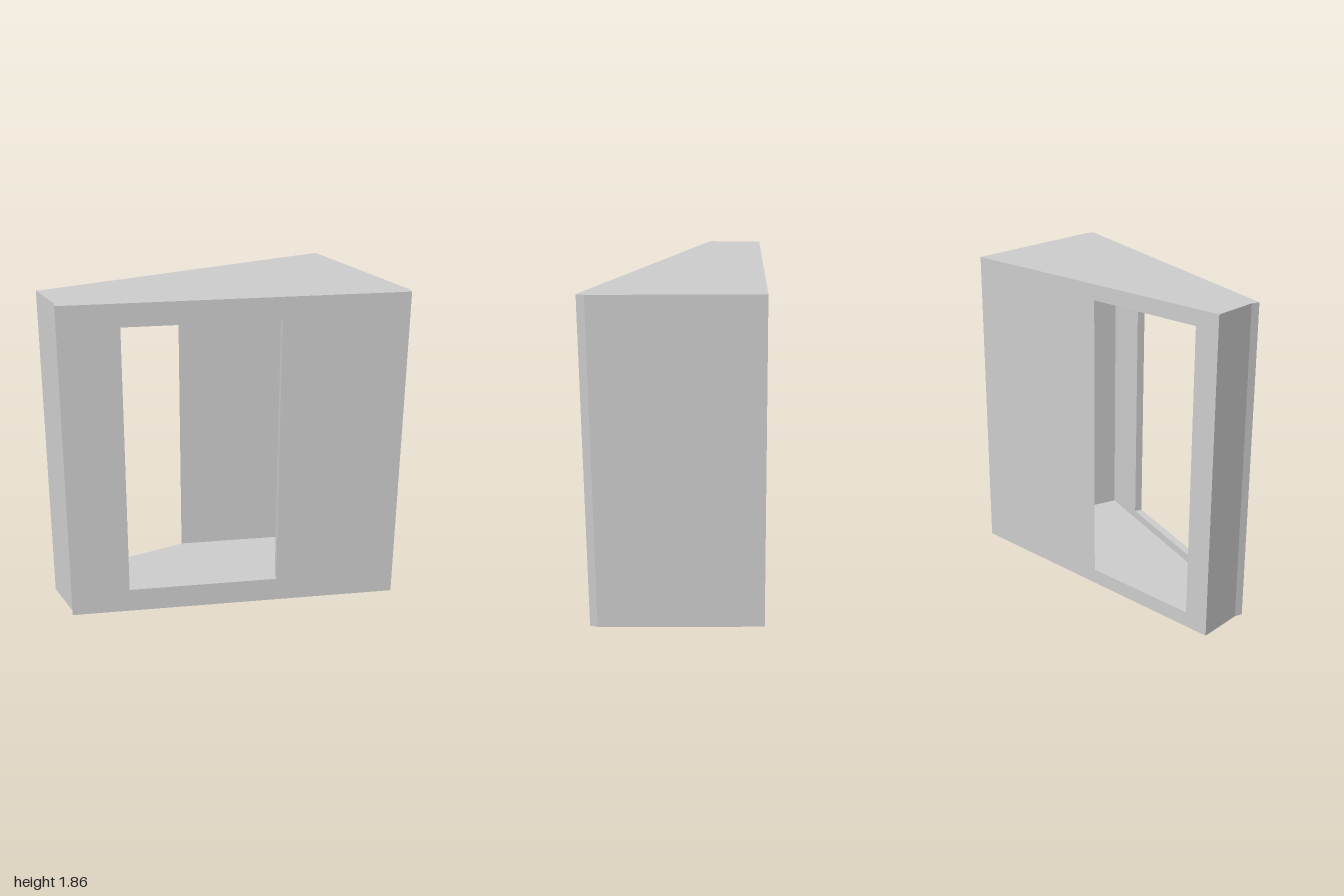
import * as THREE from 'three';

const material = new THREE.MeshStandardMaterial({ color: 0xcccccc, flatShading: true });

const HEIGHT = 1.86;
const PANEL_BACK = 0.41, PANEL_FRONT = 0.457;   // front panel depth range
const ROOM = { left: -0.865, right: 0.59, back: -0.138, floor: 0.09, ceiling: 1.77 };
const DOOR = { left: -0.57, right: 0.295, bottom: 0.14, top: 1.73 };

// Slanted rear wall: z for a given x
const A = [-1, 0.152], B = [0.682, -0.457];
const slope = (B[1] - A[1]) / (B[0] - A[0]);
const rearZ = (x) => A[1] + slope * (x - A[0]);
const rearX = (z) => A[0] + (z - A[1]) / slope;

// Upright prism from a plan of [x, z] points between two heights
function prism(name, plan, y0, y1) {
  const shape = new THREE.Shape(plan.map(([x, z]) => new THREE.Vector2(x, -z)));
  const geometry = new THREE.ExtrudeGeometry(shape, { depth: y1 - y0, bevelEnabled: false });
  geometry.rotateX(-Math.PI / 2).translate(0, y0, 0);
  const mesh = new THREE.Mesh(geometry, material);
  mesh.name = name;
  return mesh;
}

function rectangle(path, x0, y0, x1, y1) {
  return path.moveTo(x0, y0).lineTo(x1, y0).lineTo(x1, y1).lineTo(x0, y1).closePath();
}

export function createModel() {
  const group = new THREE.Group();
  group.name = 'wedgeHousing';

  // Closed wedge-shaped floor and ceiling
  const plan = [A, [-0.905, PANEL_BACK], [1, PANEL_BACK], B];
  group.add(prism('floor', plan, 0, ROOM.floor));
  group.add(prism('ceiling', plan, ROOM.ceiling, HEIGHT));

  // Solid walls either side of the inner room, leaving the rear opening between them
  group.add(prism('narrowEndWall', [
    A, [-0.905, PANEL_BACK], [ROOM.left, PANEL_BACK], [ROOM.left, rearZ(ROOM.left)],
  ], ROOM.floor, ROOM.ceiling));
  group.add(prism('wideEndWall', [
    [rearX(ROOM.back), ROOM.back], [ROOM.right, ROOM.back], [ROOM.right, PANEL_BACK],
    [1, PANEL_BACK], B,
  ], ROOM.floor, ROOM.ceiling));

  // Thin front panel with its tall opening
  const front = rectangle(new THREE.Shape(), -0.905, 0, 1, HEIGHT);
  front.holes.push(rectangle(new THREE.Path(), DOOR.left, DOOR.bottom, DOOR.right, DOOR.top));
  const panel = new THREE.Mesh(new THREE.ExtrudeGeometry(front, {
    depth: PANEL_FRONT - PANEL_BACK, bevelEnabled: false,
  }), material);
  panel.name = 'frontPanel';
  panel.position.z = PANEL_BACK;
  group.add(panel);

  return group;
}
